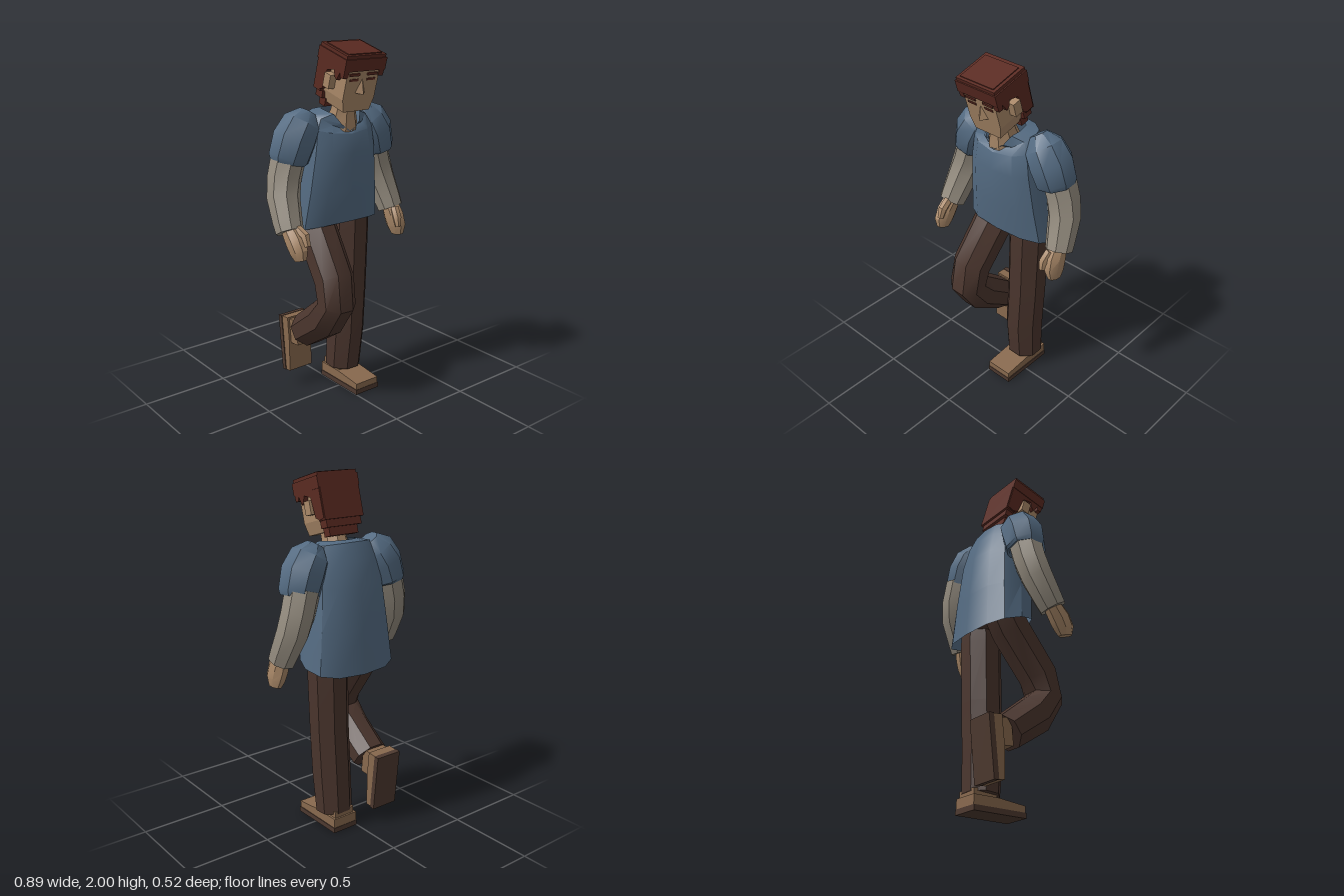
import * as THREE from 'three';
import { toCreasedNormals } from 'three/addons/utils/BufferGeometryUtils.js';

const V = (x, y, z) => new THREE.Vector3(x, y, z);
const paint = (name, color, extra = {}) => {
  const m = new THREE.MeshStandardMaterial({ color, ...extra });
  m.name = name;
  return m;
};

// Skin a list of closed rings; facets stay sharp, gentle bends are smooth
function loft(rings, capStart = true, capEnd = true) {
  const pos = [];
  const tri = (...p) => p.forEach(v => pos.push(v.x, v.y, v.z));
  const n = rings[0].length;
  for (let i = 0; i + 1 < rings.length; i++) {
    for (let j = 0; j < n; j++) {
      const k = (j + 1) % n, a = rings[i], b = rings[i + 1];
      tri(a[j], a[k], b[k]);
      tri(a[j], b[k], b[j]);
    }
  }
  const cap = (ring, flip) => {
    const c = ring.reduce((s, p) => s.add(p), V(0, 0, 0)).divideScalar(n);
    ring.forEach((p, j) => {
      const q = ring[(j + 1) % n];
      flip ? tri(c, q, p) : tri(c, p, q);
    });
  };
  if (capStart) cap(rings[0], true);
  if (capEnd) cap(rings[rings.length - 1], false);
  const g = new THREE.BufferGeometry();
  g.setAttribute('position', new THREE.Float32BufferAttribute(pos, 3));
  return toCreasedNormals(g, 0.6);
}

// Limb along a centreline of [x, y, z, sideRadius, depthRadius]
function limb(points, sides = 8) {
  const c = points.map(p => V(p[0], p[1], p[2]));
  return loft(points.map((p, i) => {
    const t = c[Math.min(i + 1, c.length - 1)].clone().sub(c[Math.max(i - 1, 0)]).normalize();
    const x = V(1, 0, 0).addScaledVector(t, -t.x).normalize();
    const f = x.clone().cross(t);
    return Array.from({ length: sides }, (_, j) => {
      const a = (j + 0.5) / sides * Math.PI * 2;
      return c[i].clone().addScaledVector(x, p[3] * Math.sin(a)).addScaledVector(f, (p[4] ?? p[3]) * Math.cos(a));
    });
  }));
}

// Side outline of [z, y] points extruded across x
function prism(outline, x0, x1) {
  const g = new THREE.ExtrudeGeometry(new THREE.Shape(outline.map(p => new THREE.Vector2(...p))),
    { depth: x1 - x0, bevelEnabled: false });
  return g.rotateY(-Math.PI / 2).translate(x1, 0, 0);
}

// Box given by its limits
const box = (x0, x1, y0, y1, z0, z1) => new THREE.BoxGeometry(x1 - x0, y1 - y0, z1 - z0)
  .translate((x0 + x1) / 2, (y0 + y1) / 2, (z0 + z1) / 2);

export function createModel() {
  const model = new THREE.Group();
  model.name = 'walkingMan';
  const skin = paint('skin', 0xa98868), hair = paint('hair', 0x5a2a21), shirt = paint('shirt', 0x536a81, { side: THREE.DoubleSide });
  const undershirt = paint('undershirt', 0x938b7e), trousers = paint('trousers', 0x4a352d);
  const shoe = paint('shoe', 0x88694e), sole = paint('sole', 0x4d392f);
  const add = (parent, name, geometry, material) => {
    const m = new THREE.Mesh(geometry, material);
    m.name = name;
    parent.add(m);
    return m;
  };

  // Shirt body: [y, centre z, half width, half depth, tilt, front dip]
  const rings = [
    [0.985, -0.08, 0.28, 0.16, 0.28, 0],
    [1.2, -0.06, 0.252, 0.165, 0.08, 0],
    [1.42, -0.04, 0.225, 0.16, 0, 0],
    [1.55, -0.03, 0.205, 0.135, 0, 0.03],
    [1.62, -0.025, 0.17, 0.1, -0.2, 0.06],
    [1.64, 0.005, 0.1, 0.095, -0.1, 0.1],
  ].map(([y, cz, rx, rz, tilt, dip]) => Array.from({ length: 12 }, (_, j) => {
    const a = j / 12 * Math.PI * 2, s = Math.sin(a), c = Math.cos(a);
    const z = rz * Math.sign(c) * Math.abs(c) ** 0.8;
    return V(rx * Math.sign(s) * Math.abs(s) ** 0.8, y + tilt * z - dip * Math.max(0, c) ** 4, cz + z);
  }));
  add(model, 'shirtBody', loft(rings, false, false), shirt);
  add(model, 'hips', limb([[0, 1.02, -0.06, 0.21, 0.1], [0, 1.2, -0.06, 0.2, 0.11]]), trousers);
  add(model, 'neck', limb([[0, 1.48, 0, 0.09], [0, 1.57, 0.015, 0.088], [0, 1.64, 0.03, 0.07], [0, 1.7, 0.05, 0.068]]), skin);

  // Short sleeves
  for (const s of [-1, 1]) {
    add(model, s > 0 ? 'leftSleeve' : 'rightSleeve', limb([
      [s * 0.18, 1.635, -0.045, 0.05], [s * 0.215, 1.58, -0.045, 0.108], [s * 0.262, 1.5, -0.05, 0.122],
      [s * 0.296, 1.4, -0.058, 0.113], [s * 0.3, 1.382, -0.06, 0.1]]), shirt);
  }

  // Arms and hands
  const arms = {
    left: {
      arm: [[0.29, 1.42, -0.08, 0.095], [0.325, 1.3, -0.085, 0.093], [0.35, 1.2, -0.07, 0.09], [0.37, 1.08, -0.02, 0.08], [0.377, 1.03, 0, 0.075]],
      hand: [[0.375, 1.05, 0, 0.045, 0.055], [0.38, 0.99, 0.025, 0.048, 0.07], [0.387, 0.93, 0.042, 0.044, 0.068], [0.392, 0.88, 0.045, 0.03, 0.045]],
      thumb: [[0.36, 1.04, 0.055, 0.025], [0.35, 0.99, 0.09, 0.026], [0.35, 0.94, 0.1, 0.018]],
    },
    right: {
      arm: [[-0.295, 1.42, -0.06, 0.095], [-0.33, 1.3, -0.055, 0.093], [-0.355, 1.2, -0.03, 0.09], [-0.372, 1.08, 0.03, 0.08], [-0.377, 1.035, 0.055, 0.075]],
      hand: [[-0.375, 1.05, 0.05, 0.045, 0.055], [-0.375, 0.99, 0.1, 0.048, 0.068], [-0.373, 0.94, 0.13, 0.044, 0.064], [-0.37, 0.9, 0.14, 0.03, 0.042]],
      thumb: [[-0.36, 1.06, 0.1, 0.025], [-0.35, 1.03, 0.155, 0.026], [-0.35, 0.98, 0.175, 0.018]],
    },
  };
  for (const [side, a] of Object.entries(arms)) {
    add(model, side + 'Arm', limb(a.arm), undershirt);
    add(model, side + 'Hand', limb(a.hand), skin);
    add(model, side + 'Thumb', limb(a.thumb, 6), skin);
  }

  // Legs: left planted, right bent behind
  add(model, 'leftLeg', limb([
    [0.12, 1.08, -0.06, 0.11], [0.115, 0.95, -0.06, 0.115], [0.105, 0.6, -0.06, 0.112],
    [0.09, 0.33, -0.06, 0.112], [0.083, 0.1, -0.075, 0.108, 0.1]]), trousers);
  add(model, 'rightLeg', limb([
    [-0.12, 1.09, -0.1, 0.11], [-0.128, 0.97, -0.035, 0.115], [-0.145, 0.74, 0.135, 0.112],
    [-0.152, 0.61, 0.165, 0.112, 0.1], [-0.157, 0.5, 0.08, 0.112], [-0.16, 0.37, -0.1, 0.11, 0.1]]), trousers);

  // Shoes
  const makeFoot = (name, x, y, z, pitch, ankleTop) => {
    const foot = new THREE.Group();
    foot.name = name;
    add(foot, 'shoeUpper', prism([[-0.175, 0.03], [0.155, 0.03], [0.155, 0.066], [-0.02, 0.084], [-0.175, 0.084]], -0.078, 0.078), shoe);
    add(foot, 'shoeSole', box(-0.082, 0.082, 0, 0.03, -0.177, 0.157), sole);
    add(foot, 'shoeAnkle', box(-0.065, 0.065, 0.08, ankleTop, -0.165, -0.02), shoe);
    foot.position.set(x, y, z);
    foot.rotation.x = pitch;
    model.add(foot);
  };
  makeFoot('leftFoot', 0.08, 0, 0, 0, 0.12);
  makeFoot('rightFoot', -0.163, 0.25, -0.247, 1.47, 0.15);

  // Head, bowed forward
  const head = new THREE.Group();
  head.name = 'head';
  head.position.set(0, 1.66, 0.04);
  head.rotation.x = 0.28;
  model.add(head);
  add(head, 'skull', box(-0.105, 0.105, 0.08, 0.26, -0.1, 0.097), skin);
  const jaw = box(-0.105, 0.105, 0.012, 0.08, -0.08, 0.097);
  const jp = jaw.attributes.position;
  for (let i = 0; i < jp.count; i++) if (jp.getY(i) < 0.05) jp.setX(i, jp.getX(i) * 0.82);
  jaw.computeVertexNormals();
  add(head, 'jaw', jaw, skin);
  add(head, 'nose', new THREE.ConeGeometry(0.034, 0.08, 4).toNonIndexed().translate(0, 0.155, 0.095), skin)
    .geometry.computeVertexNormals();

  // Hair: crown, stepped top, back, nape and jagged sides
  add(head, 'hairCrown', box(-0.135, 0.135, 0.235, 0.3, -0.125, 0.106), hair);
  add(head, 'hairTop', box(-0.128, 0.128, 0.3, 0.318, -0.122, 0.1), hair);
  add(head, 'hairTopStep', box(-0.11, 0.11, 0.318, 0.323, -0.1, 0.085), hair);
  add(head, 'hairBack', box(-0.128, 0.128, 0.07, 0.24, -0.127, -0.07), hair);
  add(head, 'hairNape', box(-0.115, 0.115, 0.03, 0.07, -0.115, -0.06), hair);
  add(head, 'hairNapeTip', box(-0.095, 0.095, -0.015, 0.03, -0.1, -0.05), hair);
  for (const s of [-1, 1]) {
    const side = s > 0 ? 'left' : 'right';
    const x = [0.1 * s, 0.132 * s].sort((a, b) => a - b);
    add(head, side + 'SideHair', prism([[0.104, 0.24], [0.1, 0.2], [0.075, 0.2], [0.07, 0.225], [0.05, 0.175], [0.03, 0.19],
      [0.02, 0.22], [-0.035, 0.2], [-0.05, 0.09], [-0.08, 0.075], [-0.12, 0.08], [-0.12, 0.24]], ...x), hair);
    add(head, side + 'Ear', new THREE.BoxGeometry(0.045, 0.075, 0.05).translate(s * 0.122, 0.15, -0.01), skin);
    add(head, side + 'Brow', new THREE.BoxGeometry(0.066, 0.014, 0.009).translate(s * 0.058, 0.216, 0.099), hair);
    add(head, side + 'Eye', new THREE.BoxGeometry(0.055, 0.012, 0.006).translate(s * 0.056, 0.187, 0.098), hair);
  }
  return model;
}
